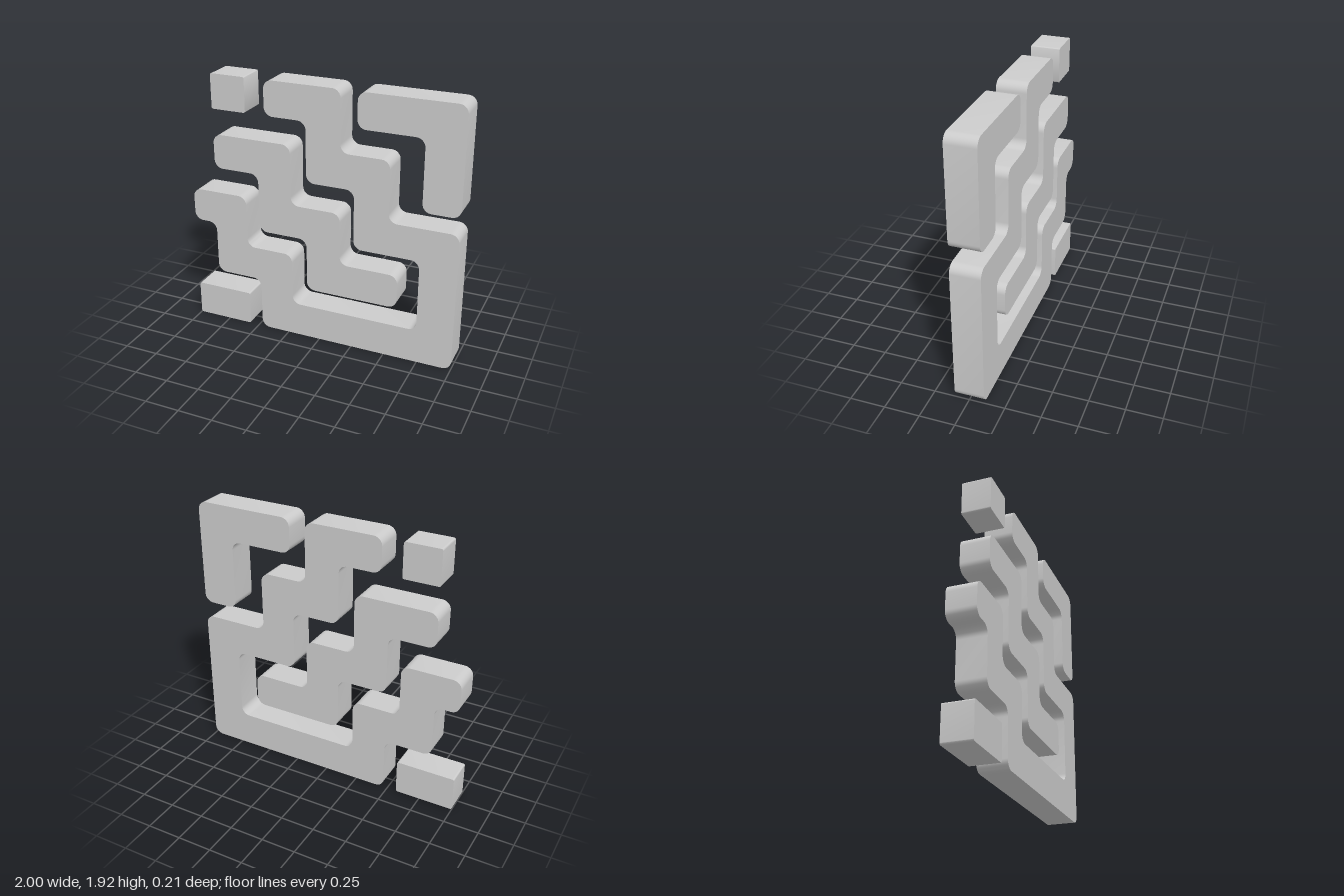
import * as THREE from 'three';
import { toCreasedNormals } from 'three/addons/utils/BufferGeometryUtils.js';

const DEPTH = 0.21;

// Closed outline with every corner rounded to radius r
function roundedOutline(points, r) {
  const pts = points.map(([x, y]) => new THREE.Vector2(x, y));
  const n = pts.length;
  const shape = new THREE.Shape();
  const k = 1 - 0.5523; // cubic handle that approximates a quarter circle
  pts.forEach((p, i) => {
    const toPrev = pts[(i + n - 1) % n].clone().sub(p).normalize();
    const toNext = pts[(i + 1) % n].clone().sub(p).normalize();
    const at = (dir, d) => p.clone().addScaledVector(dir, d);
    const a = at(toPrev, r), b = at(toNext, r);
    const c1 = at(toPrev, r * k), c2 = at(toNext, r * k);
    if (i === 0) shape.moveTo(a.x, a.y);
    else shape.lineTo(a.x, a.y);
    shape.bezierCurveTo(c1.x, c1.y, c2.x, c2.y, b.x, b.y);
  });
  shape.closePath();
  return shape;
}

// Rectilinear outline: starts at (x, y), then alternates new x and new y values
function steps(x, y, ...values) {
  const points = [[x, y]];
  values.forEach((v, i) => {
    if (i % 2 === 0) x = v;
    else y = v;
    points.push([x, y]);
  });
  return points;
}

const rect = (x0, y0, x1, y1) => steps(x0, y0, x1, y1, x0);

export function createModel() {
  const group = new THREE.Group();
  const material = new THREE.MeshStandardMaterial({ color: 0xcccccc });

  function addPlate(name, points, radius) {
    const geometry = new THREE.ExtrudeGeometry(roundedOutline(points, radius), {
      depth: DEPTH, bevelEnabled: false, curveSegments: 8,
    });
    geometry.translate(0, 0, -DEPTH / 2);
    const mesh = new THREE.Mesh(toCreasedNormals(geometry, Math.PI / 6), material);
    mesh.name = name;
    group.add(mesh);
  }

  // Small end blocks with nearly sharp corners
  addPlate('upperLeftBlock', rect(-0.81, 1.673, -0.55, 1.925), 0.012);
  addPlate('lowerLeftBlock', rect(-1, 0, -0.57, 0.256), 0.012);

  // L-shaped corner
  addPlate('cornerBar', steps(0.274, 1.925, 1, 1.16, 0.737, 1.673, 0.274), 0.063);

  // Short staircase in the middle
  addPlate('middleStaircase', steps(
    -0.81, 1.487, -0.215, 1.043, 0.156, 0.652, 0.585, 0.4,
    -0.096, 0.797, -0.466, 1.234, -0.81), 0.063);

  // Two staircases joined by the lower right frame
  addPlate('outerStaircaseLoop', steps(
    -0.405, 1.925, 0.156, 1.487, 0.508, 1.043, 1, 0,
    -0.468, 0.4, -0.823, 0.797, -1, 1.043, -0.57, 0.652,
    -0.213, 0.256, 0.737, 0.797, 0.258, 1.234, -0.096, 1.673, -0.405), 0.063);

  return group;
}
